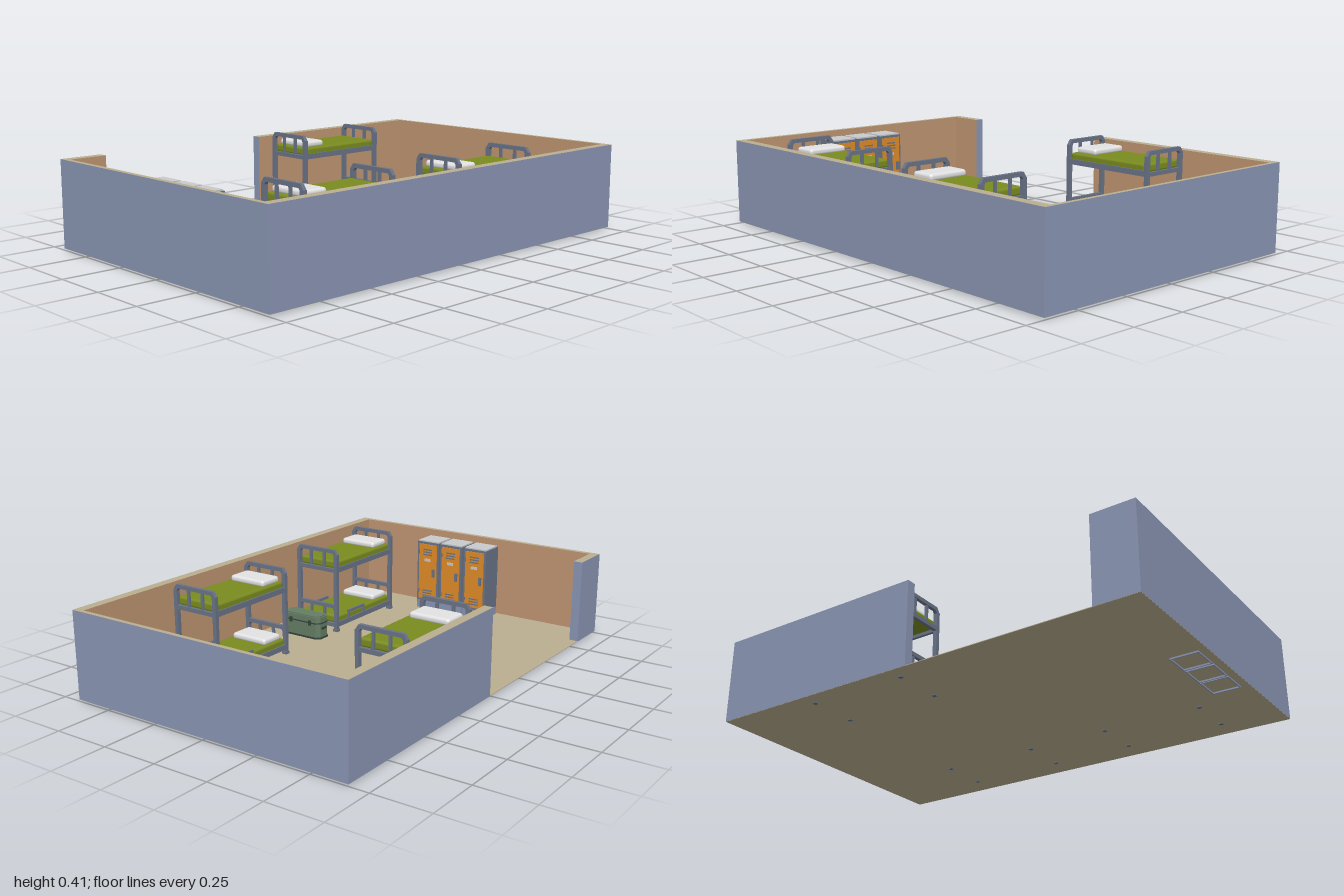
import * as THREE from 'three';
import { RoundedBoxGeometry } from 'three/addons/geometries/RoundedBoxGeometry.js';

const paint = (name, color) => {
  const m = new THREE.MeshStandardMaterial({ color });
  m.name = name;
  return m;
};
const M = {
  blue: paint('wall blue', 0x8a96b4),
  tan: paint('floor tan', 0xbaae90),
  brown: paint('inner wall brown', 0xc09672),
  steel: paint('steel', 0x6a7488),
  green: paint('mattress green', 0x7a8c20),
  white: paint('pillow white', 0xe2e2e4),
  trunk: paint('trunk green', 0x657d64),
  dark: paint('dark trim', 0x34443c),
  orange: paint('door orange', 0xe08c28),
  grey: paint('locker top grey', 0xc8cacc),
};

function add(parent, name, geo, mat, x = 0, y = 0, z = 0) {
  const m = new THREE.Mesh(geo, mat);
  m.name = name;
  m.position.set(x, y, z);
  parent.add(m);
  return m;
}
const box = (parent, name, mat, w, h, d, x, y, z) =>
  add(parent, name, new THREE.BoxGeometry(w, h, d), mat, x, y, z);
const group = (parent, name, x = 0, y = 0, z = 0) => {
  const g = new THREE.Group();
  g.name = name;
  g.position.set(x, y, z);
  parent.add(g);
  return g;
};
const points = (a) => a.map(([x, y]) => new THREE.Vector2(x, y));

// Rectangle with cut corners, centred on the origin
const cutRect = (w, d, c) => points([
  [-w / 2 + c, -d / 2], [w / 2 - c, -d / 2], [w / 2, -d / 2 + c], [w / 2, d / 2 - c],
  [w / 2 - c, d / 2], [-w / 2 + c, d / 2], [-w / 2, d / 2 - c], [-w / 2, -d / 2 + c],
]);
// Extrusion that stands upright from y = 0
function prism(shape, h) {
  const g = new THREE.ExtrudeGeometry(shape, { depth: h, bevelEnabled: false });
  return g.rotateX(-Math.PI / 2);
}

// Floor and four walls; the -x wall has a wide opening
function room(root) {
  const g = group(root, 'room');
  box(g, 'floor', M.tan, 1.328, 0.003, 1.998, 0, 0.0085, 0);
  const wall = (name, x0, x1, z0, z1, inner) => {
    // face order: +x, -x, top, bottom, +z, -z
    const mats = [M.blue, M.blue, M.tan, M.tan, M.blue, M.blue];
    mats[inner] = M.brown;
    box(g, name, mats, x1 - x0, 0.377, z1 - z0, (x0 + x1) / 2, 0.1965, (z0 + z1) / 2);
  };
  wall('frontWall', -0.665, 0.665, 0.977, 1, 5);
  wall('backWall', -0.665, 0.665, -1, -0.98, 4);
  wall('leftWall', 0.622, 0.665, -0.98, 0.977, 1);
  wall('rightWallBack', -0.665, -0.624, -0.98, -0.02, 0);
  wall('rightWallFront', -0.665, -0.624, 0.81, 0.977, 0);
}

// End board: cut-corner hoop with a lower rail and upright bars
function endBoard(parent, z, top) {
  const g = group(parent, 'endBoard', 0, top, z);
  const s = new THREE.Shape(points([
    [-0.115, -0.108], [0.115, -0.108], [0.115, -0.022], [0.1, 0], [-0.1, 0], [-0.115, -0.022],
  ]));
  s.holes.push(new THREE.Path(points([
    [-0.098, -0.09], [-0.098, -0.028], [-0.09, -0.017], [0.09, -0.017], [0.098, -0.028], [0.098, -0.09],
  ])));
  const geo = new THREE.ExtrudeGeometry(s, { depth: 0.016, bevelEnabled: false });
  geo.translate(0, 0, -0.008);
  add(g, 'hoop', geo, M.steel);
  for (const x of [-0.038, 0.038]) box(g, 'bar', M.steel, 0.012, 0.08, 0.01, x, -0.053, 0);
}

function bunkBed(root, x, z) {
  const g = group(root, 'bunkBed', x, 0, z);
  for (const sx of [-1, 1]) for (const sz of [-1, 1]) {
    box(g, 'post', M.steel, 0.018, 0.38, 0.018, sx * 0.107, 0.193, sz * 0.225);
    box(g, 'foot', M.steel, 0.024, 0.012, 0.024, sx * 0.107, 0.016, sz * 0.225);
  }
  for (const top of [0.14, 0.405]) {
    for (const sz of [-1, 1]) endBoard(g, sz * 0.225, top);
    for (const sx of [-1, 1])
      box(g, 'sideRail', M.steel, 0.012, 0.024, 0.44, sx * 0.109, top - 0.096, 0);
    add(g, 'mattress', new RoundedBoxGeometry(0.216, 0.04, 0.432, 2, 0.012), M.green, 0, top - 0.076, 0);
    add(g, 'pillow', new RoundedBoxGeometry(0.185, 0.03, 0.112, 3, 0.013), M.white, -0.006, top - 0.046, 0.145);
  }
  // Short guard beside the lower bunk
  for (const sx of [-1, 1]) {
    box(g, 'guardRail', M.steel, 0.01, 0.012, 0.13, sx * 0.109, 0.088, -0.07);
    for (const dz of [-0.06, 0.06])
      box(g, 'guardPost', M.steel, 0.01, 0.04, 0.01, sx * 0.109, 0.066, -0.07 + dz);
  }
}

function trunk(root, x, z) {
  const g = group(root, 'trunk', x, 0.01, z);
  const layer = (name, mat, w, d, h, y) =>
    add(g, name, prism(new THREE.Shape(cutRect(w, d, 0.017)), h), mat, 0, y, 0);
  layer('bottomTrim', M.dark, 0.214, 0.088, 0.008, 0);
  layer('body', M.trunk, 0.208, 0.082, 0.068, 0.006);
  layer('seam', M.dark, 0.214, 0.088, 0.005, 0.073);
  layer('lid', M.trunk, 0.208, 0.082, 0.026, 0.077);
  layer('lidTop', M.trunk, 0.196, 0.07, 0.006, 0.102);
  for (const sz of [-1, 1]) for (const dx of [-0.055, 0.055])
    box(g, 'latch', M.dark, 0.014, 0.024, 0.006, dx, 0.075, sz * 0.043);
  for (const sx of [-1, 1]) box(g, 'handle', M.dark, 0.006, 0.01, 0.035, sx * 0.105, 0.05, 0);
}

// Locker with its door facing the room (-z)
function locker(root, x) {
  const g = group(root, 'locker', x, 0, 0.905);
  const s = new THREE.Shape(cutRect(0.122, 0.12, 0.001));
  s.holes.push(new THREE.Path(cutRect(0.114, 0.112, 0.001).reverse()));
  add(g, 'plinth', prism(s, 0.05), M.blue);
  box(g, 'body', M.steel, 0.122, 0.302, 0.12, 0, 0.201, 0);
  box(g, 'top', M.grey, 0.114, 0.008, 0.112, 0, 0.354, 0);
  box(g, 'door', M.orange, 0.1, 0.28, 0.008, 0, 0.201, -0.061);
  for (let i = 0; i < 3; i++) {
    box(g, 'upperVent', M.steel, 0.05, 0.006, 0.004, 0, 0.315 - i * 0.013, -0.065);
    box(g, 'lowerVent', M.steel, 0.05, 0.006, 0.004, 0, 0.105 - i * 0.013, -0.065);
  }
  box(g, 'namePlate', M.grey, 0.034, 0.014, 0.004, 0, 0.262, -0.065);
  box(g, 'handle', M.steel, 0.012, 0.04, 0.012, -0.036, 0.2, -0.069);
  for (const y of [0.1, 0.3]) box(g, 'hinge', M.steel, 0.008, 0.02, 0.006, 0.05, y, -0.064);
}

export function createModel() {
  const root = new THREE.Group();
  root.name = 'barracksRoom';
  room(root);
  for (const [x, z] of [[-0.49, -0.32], [0.437, -0.32], [0.437, 0.513]]) bunkBed(root, x, z);
  for (const [x, z] of [[-0.37, -0.64], [0.405, -0.64], [0.425, 0.175]]) trunk(root, x, z);
  for (const x of [-0.092, 0.042, 0.172]) locker(root, x);
  return root;
}
